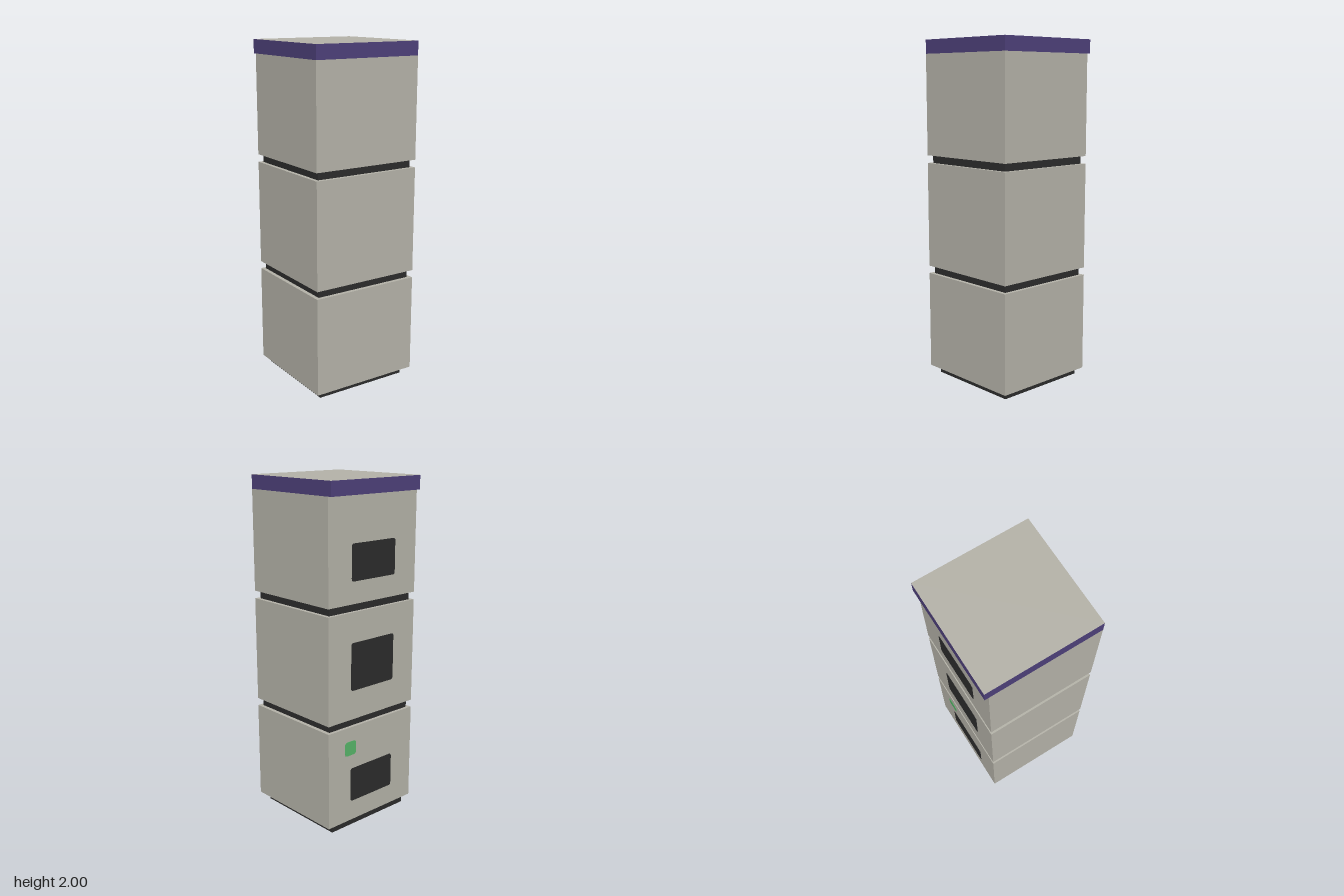
import * as THREE from 'three';

const mat = (name, color) => {
  const m = new THREE.MeshStandardMaterial({ color });
  m.name = name;
  return m;
};

export function createModel() {
  const beige = mat('warmGrey', 0xb2b0a6);
  const dark = mat('charcoal', 0x2b2b2b);
  const purple = mat('purple', 0x4c3f78);
  const green = mat('green', 0x55b267);

  const group = new THREE.Group();
  group.name = 'stackedCabinet';
  const half = 0.333, back = -0.31;

  const add = (name, geometry, material) => {
    const mesh = new THREE.Mesh(geometry, material);
    mesh.name = name;
    group.add(mesh);
    return mesh;
  };

  // Box given by half width, height range and depth range
  const block = (name, hw, y0, y1, z0, z1, material) =>
    add(name, new THREE.BoxGeometry(hw * 2, y1 - y0, z1 - z0), material)
      .position.set(0, (y0 + y1) / 2, (z0 + z1) / 2);

  // Thin rounded plate on the back face
  const plate = (name, x0, x1, y0, y1, r, material) => {
    const s = new THREE.Shape();
    s.moveTo(x0 + r, y0);
    s.lineTo(x1 - r, y0);
    s.quadraticCurveTo(x1, y0, x1, y0 + r);
    s.lineTo(x1, y1 - r);
    s.quadraticCurveTo(x1, y1, x1 - r, y1);
    s.lineTo(x0 + r, y1);
    s.quadraticCurveTo(x0, y1, x0, y1 - r);
    s.lineTo(x0, y0 + r);
    s.quadraticCurveTo(x0, y0, x0 + r, y0);
    const g = new THREE.ExtrudeGeometry(s, { depth: 0.004, bevelEnabled: false, curveSegments: 4 });
    add(name, g, material).position.z = back - 0.002;
  };

  // Recessed plinth and the two shadow gaps
  block('plinth', 0.29, 0, 0.045, -0.29, 0.29, dark);
  block('lowerGap', 0.31, 0.625, 0.67, -0.29, 0.31, dark);
  block('upperGap', 0.31, 1.29, 1.335, -0.29, 0.31, dark);

  // Three stacked modules, each with a dark panel at the back
  const modules = [
    ['lower', 0.045, 0.625, 0.165, 0.37],
    ['middle', 0.67, 1.29, 0.84, 1.117],
    ['upper', 1.335, 1.92, 1.46, 1.665],
  ];
  for (const [name, y0, y1, p0, p1] of modules) {
    block(name + 'Module', half, y0, y1, back, half, beige);
    plate(name + 'BackPanel', -0.165, 0.165, p0, p1, 0.015, dark);
  }

  // Small indicator on the lower module
  plate('indicator', 0.125, 0.21, 0.455, 0.54, 0.02, green);

  // Cap with coloured rim and plain top, overhanging the back
  block('cap', half, 1.92, 2, -half, half,
    [purple, purple, beige, purple, purple, purple]);

  return group;
}
